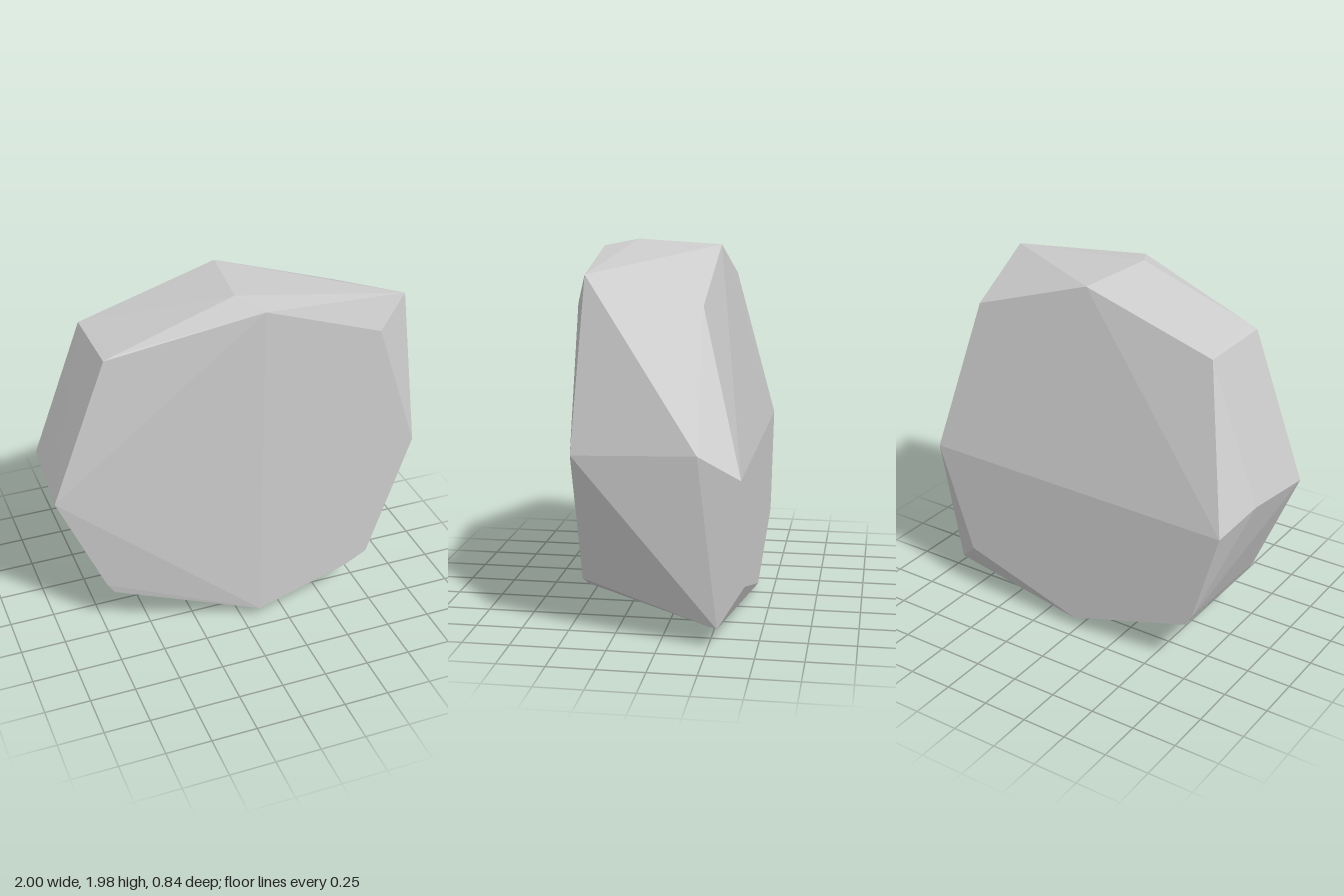
import * as THREE from 'three';
import { ConvexGeometry } from 'three/addons/geometries/ConvexGeometry.js';

// Corner rings of the boulder, one per depth; each entry is [x, y, z]
const FRONT = [
  [0.1, 1.95, 0.42], [0.75, 1.72, 0.42], [0.99, 1.0, 0.42],
  [0.75, 0.29, 0.42], [0.62, 0.22, 0.42], [0.1, 0.05, 0.42],
];
const FRONT_EDGE = [
  [0.91, 1.88, 0.35], [0, 1.98, 0.25], [-0.65, 1.76, 0.25], [-0.7, 1.74, 0.25],
  [-1, 0.94, 0.25], [-0.74, 0.33, 0.25], [-0.7, 0.27, 0.25], [0, 0, 0.25],
];
const BACK_EDGE = [
  [0.06, 1.96, -0.21], [0.77, 1.72, -0.21], [1, 1.02, -0.21],
  [0.91, 0.11, -0.3], [-0.98, 0.98, -0.21], [-0.7, 1.73, -0.21],
];
const BACK = [
  [0.94, 0.89, -0.42], [0.73, 0.28, -0.42], [0.02, 0.06, -0.42],
  [-0.7, 0.28, -0.42], [-0.74, 0.34, -0.42], [-0.89, 0.86, -0.42],
];

export function createModel() {
  const group = new THREE.Group();
  group.name = 'rock';

  // Faceted boulder: the hull wrapped around the rings
  const corners = [FRONT, FRONT_EDGE, BACK_EDGE, BACK].flat().map((p) => new THREE.Vector3(...p));
  const boulder = new THREE.Mesh(
    new ConvexGeometry(corners),
    new THREE.MeshStandardMaterial({ color: 0xcccccc, flatShading: true }),
  );
  boulder.name = 'boulder';
  group.add(boulder);
  return group;
}
